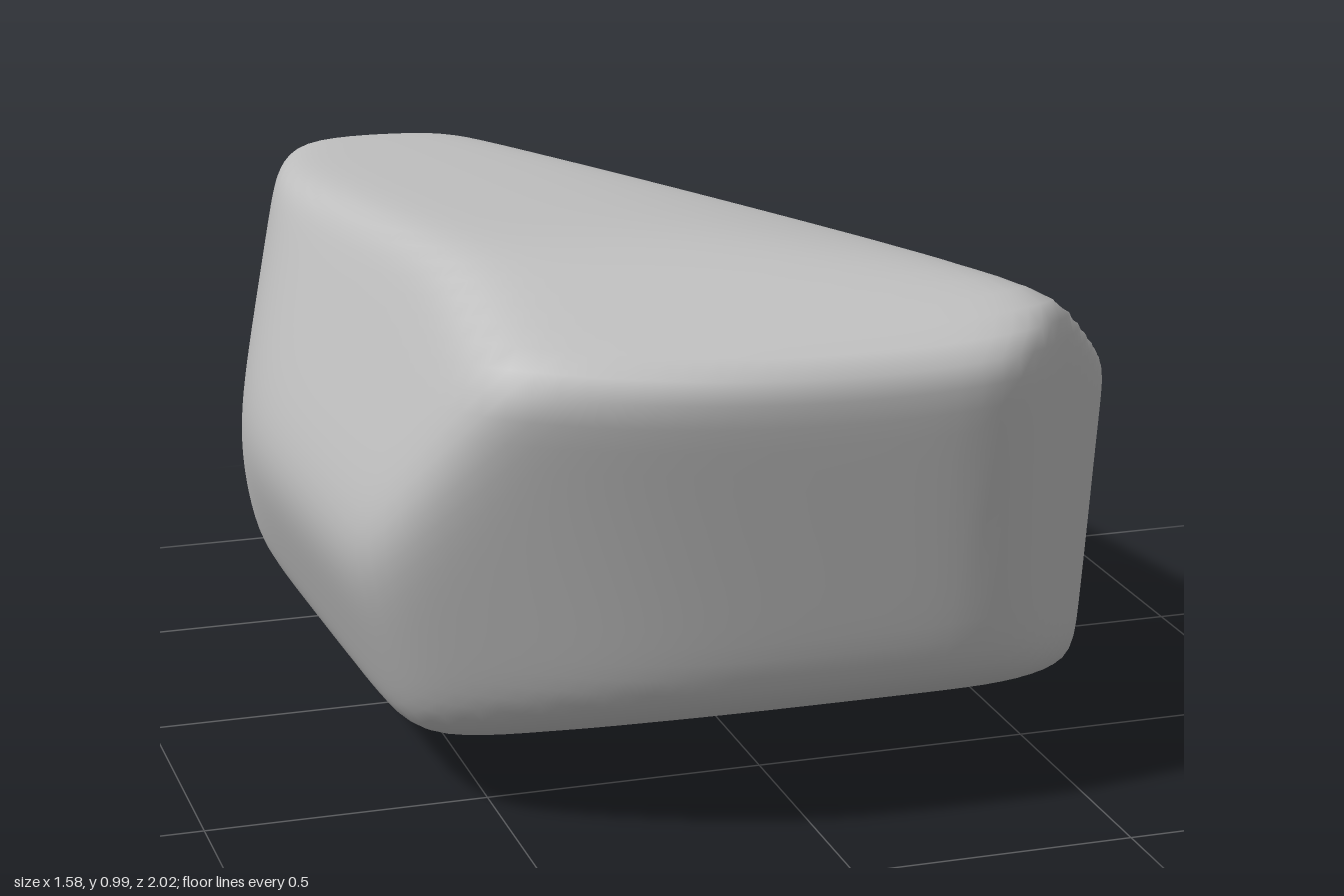
import * as THREE from 'three';
import { ParametricGeometry } from 'three/addons/geometries/ParametricGeometry.js';

// Facets of the boulder: plane [nx, ny, nz, d] with nx*x + ny*y + nz*z = d
const FACETS = [
  [0, 1, -0.085, 0.96],         // top
  [0.2, 1, -0.1, 0.945],        // gentle shoulder of the top
  [0.58, 1, -0.245, 0.972],     // long slope on the left
  [0, 1, 0.25, 1.145],          // bevel above the front
  [1, -0.1, 0.125, 0.682],      // left side
  [0.8, -0.05, 0.57, 0.772],    // front left corner
  [0, -0.22, 1, 0.828],         // front
  [0, -1, 0.4, 0.1],            // underside near the front
  [0, -1, 0.2, 0.002],          // underside near the middle
  [-0.29, -1, -0.04, 0.064],    // underside, rising to the right
  [-0.9, 0.4, 0.04, 0.938],     // upper right side
  [-0.92, -0.35, 0.05, 0.572],  // lower right side
  [-0.95, 0.12, -0.3, 0.88],    // right side towards the back
  [-0.6, 0, -0.8, 1.03],        // back right corner
  [-0.81, -0.24, -0.58, 0.835], // back right corner, leaning under
  [-0.6, -0.44, 1, 0.935],      // front right corner, leaning under
  [0.05, 0.2, -1, 1.035],       // back
  [0.35, -0.3, -1, 1.0],        // back left, leaning under
];
const CENTRE = new THREE.Vector3(0.05, 0.5, -0.15);
const SHARPNESS = 22;
const REACHES = FACETS.map(([x, y, z, d]) => {
  const depth = d - x * CENTRE.x - y * CENTRE.y - z * CENTRE.z;
  return new THREE.Vector3(x, y, z).divideScalar(depth);
});

// Point on the softly rounded facets, seen from the centre
function surfacePoint(polar, turn, target) {
  target.setFromSphericalCoords(1, polar, turn);
  let sum = 0;
  for (const n of REACHES) sum += Math.max(0, n.dot(target)) ** SHARPNESS;
  return target.multiplyScalar(sum ** (-1 / SHARPNESS)).add(CENTRE);
}

// Polar angle at which the surface meets the ground
function groundAngle(turn) {
  const p = new THREE.Vector3();
  let low = Math.PI / 2, high = Math.PI;
  for (let i = 0; i < 36; i++) {
    const mid = (low + high) / 2;
    if (surfacePoint(mid, turn, p).y > 0) low = mid;
    else high = mid;
  }
  return low;
}

export function createModel() {
  const group = new THREE.Group();
  group.name = 'boulder';
  const stone = new THREE.MeshStandardMaterial({ color: 0xc0c0c0 });
  stone.name = 'stone grey';

  // Rounded body, from the top down to the ground line
  const body = new THREE.Mesh(new ParametricGeometry((u, v, target) => {
    const turn = v * Math.PI * 2;
    surfacePoint(THREE.MathUtils.lerp(0.002, groundAngle(turn), u), turn, target);
  }, 90, 180), stone);
  body.name = 'rockBody';

  // Flat base inside the ground line
  const outline = [];
  for (let i = 0; i < 180; i++) {
    const turn = (i / 180) * Math.PI * 2;
    const p = surfacePoint(groundAngle(turn), turn, new THREE.Vector3());
    outline.push(new THREE.Vector2(p.x, p.z));
  }
  const base = new THREE.Mesh(
    new THREE.ShapeGeometry(new THREE.Shape(outline)).rotateX(Math.PI / 2), stone);
  base.name = 'flatBase';

  group.add(body, base);
  return group;
}
